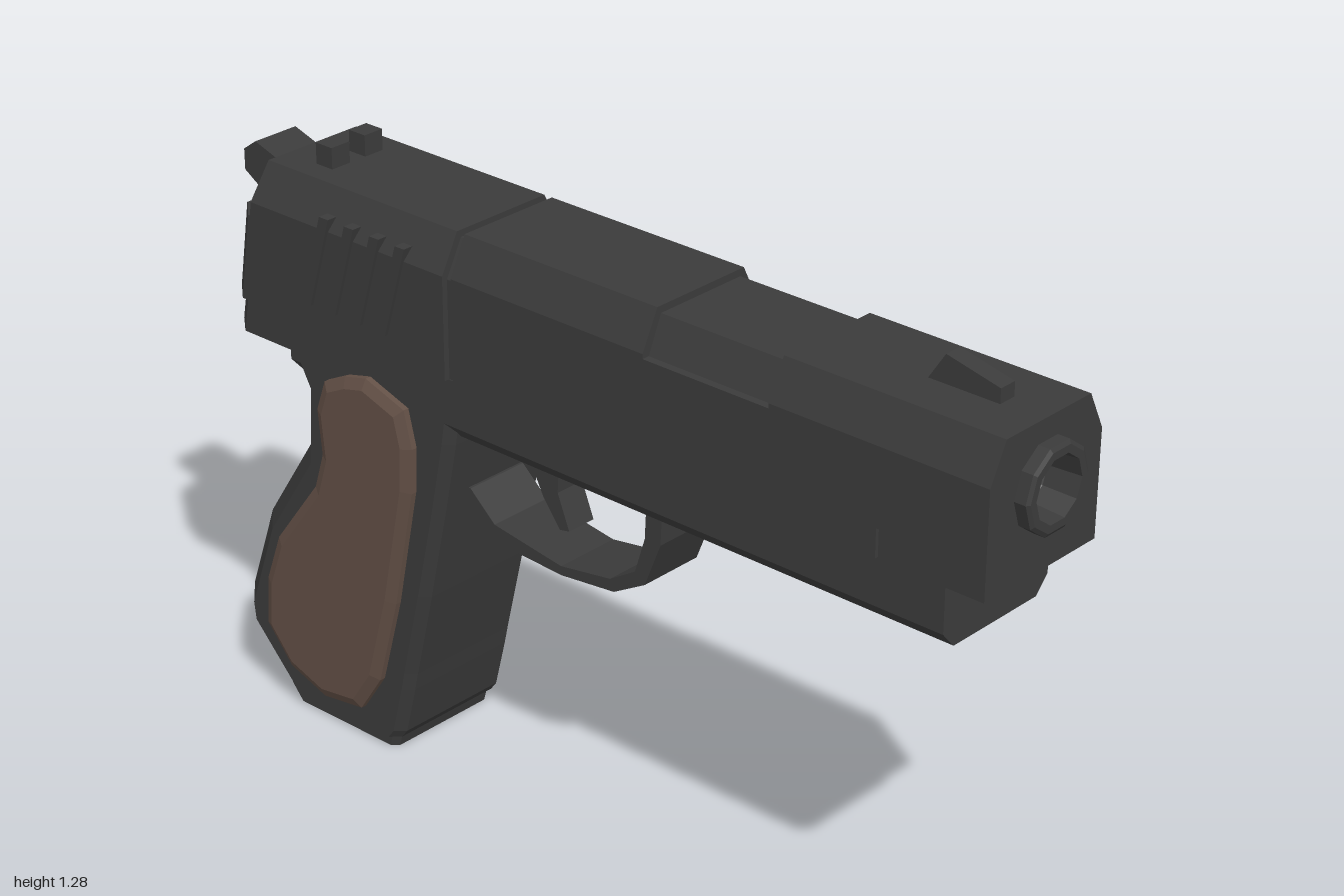
import * as THREE from 'three';

const steel = new THREE.MeshStandardMaterial({ color: 0x3b3b3b, flatShading: true });
steel.name = 'dark steel';
const wood = new THREE.MeshStandardMaterial({ color: 0x635046, flatShading: true });
wood.name = 'brown grip';

function shapeOf(pts) {
  return new THREE.Shape(pts.map(([a, b]) => new THREE.Vector2(a, b)));
}

// Half cross-section (z, y) mirrored across z = 0 and extruded along x
function extrudeX(half, x0, x1, holeRadius) {
  const pts = [...half, ...half.map(([z, y]) => [-z, y]).reverse()];
  const shape = shapeOf(pts);
  if (holeRadius) {
    const hole = new THREE.Path();
    hole.absarc(0, 1.09, holeRadius, 0, Math.PI * 2, true);
    shape.holes.push(hole);
  }
  const geo = new THREE.ExtrudeGeometry(shape, { depth: x1 - x0, bevelEnabled: false, curveSegments: 5 });
  return geo.rotateY(Math.PI / 2).translate(x0, 0, 0);
}

// Side profile (x, y) extruded between two z values
function extrudeZ(pts, z0, z1) {
  return new THREE.ExtrudeGeometry(shapeOf(pts), { depth: z1 - z0, bevelEnabled: false }).translate(0, 0, z0);
}

// Horizontal ring with bevelled back and front corners
function ring(y, xb, xf, hw, hb, c, hf, cf) {
  return [[xb, -hb], [xb, hb], [xb + c, hw], [xf - cf, hw], [xf, hf], [xf, -hf], [xf - cf, -hw], [xb + c, -hw]]
    .map(([x, z]) => [x, y, z]);
}

// Closed skin over rings stacked from bottom to top
function loft(rings) {
  const pos = [];
  const tri = (...p) => p.forEach((v) => pos.push(...v));
  const n = rings[0].length;
  for (let r = 0; r < rings.length - 1; r++) {
    const a = rings[r], b = rings[r + 1];
    for (let i = 0; i < n; i++) {
      const j = (i + 1) % n;
      tri(a[i], a[j], b[j]);
      tri(a[i], b[j], b[i]);
    }
  }
  const bottom = rings[0], top = rings[rings.length - 1];
  for (let i = 1; i < n - 1; i++) {
    tri(bottom[0], bottom[i + 1], bottom[i]);
    tri(top[0], top[i], top[i + 1]);
  }
  const geo = new THREE.BufferGeometry();
  geo.setAttribute('position', new THREE.Float32BufferAttribute(pos, 3));
  geo.computeVertexNormals();
  return geo;
}

export function createModel() {
  const model = new THREE.Group();
  model.name = 'pistol';
  const add = (name, geo, mat = steel) => {
    const mesh = new THREE.Mesh(geo, mat);
    mesh.name = name;
    model.add(mesh);
    return mesh;
  };

  // Slide: bevelled bar in sections, with a groove, a port and a stepped nose
  const bar = (bottom) => [[0.16, bottom], [0.16, 1.14], [0.12, 1.22]];
  add('slideMiddle', extrudeX(bar(0.92), -0.31, 0.18));
  add('ejectionPort', extrudeX([[0.16, 0.92], [0.16, 1.13], [0.143, 1.13], [0.11, 1.205]], 0.18, 0.48));
  add('slideFront', extrudeX(bar(0.92), 0.48, 0.73));
  add('slideNose', extrudeX(bar(0.98), 0.73, 0.97, 0.075));
  add('slideNoseLip', extrudeX([[0.16, 0.92], [0.16, 0.98]], 0.88, 0.97));
  add('slideGroove', extrudeX([[0.15, 0.92], [0.15, 1.13], [0.11, 1.205]], -0.33, -0.31));

  // Slide rear: upper part leans forward, lower part has cut back corners
  const upper = extrudeX([[0.163, 1.11], [0.163, 1.14], [0.12, 1.22]], -0.87, -0.33);
  const p = upper.attributes.position;
  for (let i = 0; i < p.count; i++) {
    if (p.getX(i) < -0.8) p.setX(i, -0.87 + (p.getY(i) - 1.11) * 0.14);
  }
  upper.computeVertexNormals();
  add('slideRearTop', upper);
  add('slideRearBottom', loft([
    ring(0.92, -0.955, -0.33, 0.163, 0.12, 0.05, 0.163, 0.001),
    ring(1.11, -0.925, -0.33, 0.163, 0.12, 0.05, 0.163, 0.001),
  ]));

  // Slanted grip ribs on both sides of the slide
  for (let i = 0; i < 4; i++) {
    const x = -0.66 + i * 0.07;
    const rib = [[x - 0.06, 0.97], [x - 0.035, 0.97], [x + 0.025, 1.17], [x, 1.17]];
    add('leftRib', extrudeZ(rib, 0.13, 0.17));
    add('rightRib', extrudeZ(rib, -0.17, -0.13));
  }

  // Barrel muzzle with a blind bore
  const barrel = new THREE.LatheGeometry(
    [[0.075, -0.1], [0.09, -0.01], [0.09, 0.025], [0.082, 0.03], [0.066, 0.03], [0.06, -0.04], [0, -0.1]]
      .map(([r, y]) => new THREE.Vector2(r, y)), 10);
  add('muzzle', barrel.rotateZ(-Math.PI / 2).translate(0.97, 1.09, 0));

  // Sights
  add('frontSight', extrudeZ([[0.72, 1.215], [0.88, 1.215], [0.88, 1.25], [0.76, 1.277]], -0.02, 0.02));
  for (const s of [-1, 1]) {
    add('rearSight', new THREE.BoxGeometry(0.045, 0.05, 0.048).translate(-0.748, 1.24, s * 0.045));
  }

  // Hammer
  add('hammer', extrudeZ([[-1, 1.185], [-1, 1.14], [-0.92, 1.09], [-0.84, 1.09], [-0.84, 1.17], [-0.965, 1.21]], -0.055, 0.055));

  // Frame under the slide, with the raised dust cover step and the tang
  add('frame', extrudeX([[0.12, 0.785], [0.152, 0.82], [0.152, 0.92]], -0.78, 0.88));
  add('frameStep', extrudeX([[0.152, 0.92], [0.152, 0.98]], 0.73, 0.88));
  add('tang', loft([
    ring(0.84, -0.965, -0.6, 0.152, 0.11, 0.05, 0.152, 0.001),
    ring(0.92, -0.95, -0.6, 0.152, 0.11, 0.05, 0.152, 0.001),
  ]));

  // Grip lofted upward: height, back x, front x
  const gripRows = [
    [0.03, -0.87, -0.515], [0.05, -0.89, -0.5], [0.16, -0.995, -0.472], [0.2, -1, -0.463],
    [0.4, -0.93, -0.415], [0.6, -0.8, -0.37], [0.77, -0.79, -0.335], [0.86, -0.84, -0.32],
  ];
  add('grip', loft(gripRows.map(([y, b, f]) => ring(y, b, f, 0.152, 0.09, 0.065, 0.132, 0.02))));
  add('magazineBase', loft([
    ring(0, -0.87, -0.53, 0.138, 0.09, 0.06, 0.125, 0.015),
    ring(0.035, -0.9, -0.52, 0.138, 0.09, 0.06, 0.125, 0.015),
  ]));

  // Bevelled grip panels on both sides
  const outline = [
    [-0.55, 0.855], [-0.61, 0.84], [-0.67, 0.81], [-0.695, 0.74], [-0.685, 0.64], [-0.71, 0.56], [-0.83, 0.4],
    [-0.87, 0.29], [-0.878, 0.18], [-0.81, 0.1], [-0.71, 0.065], [-0.6, 0.08], [-0.54, 0.17],
    [-0.485, 0.37], [-0.43, 0.64], [-0.425, 0.74], [-0.445, 0.82],
  ];
  const panel = new THREE.ExtrudeGeometry(shapeOf(outline), {
    depth: 0.02, bevelSize: 0.022, bevelOffset: -0.022, bevelThickness: 0.012, bevelSegments: 1,
  });
  add('leftGripPanel', panel.clone().translate(0, 0, 0.145), wood);
  add('rightGripPanel', panel.translate(0, 0, -0.165), wood);

  // Trigger guard and trigger
  add('triggerGuard', extrudeZ([
    [-0.39, 0.575], [-0.26, 0.548], [-0.11, 0.54], [0.03, 0.555], [0.11, 0.6], [0.15, 0.7], [0.155, 0.8], [0.115, 0.8],
    [0.11, 0.7], [0.085, 0.62], [0.02, 0.58], [-0.11, 0.56], [-0.29, 0.587], [-0.355, 0.645], [-0.39, 0.645],
  ], -0.075, 0.075));
  add('trigger', extrudeZ([
    [-0.31, 0.8], [-0.31, 0.775], [-0.275, 0.735], [-0.225, 0.73], [-0.195, 0.67], [-0.15, 0.61], [-0.125, 0.615],
    [-0.155, 0.69], [-0.15, 0.8],
  ], -0.035, 0.035));

  return model;
}
